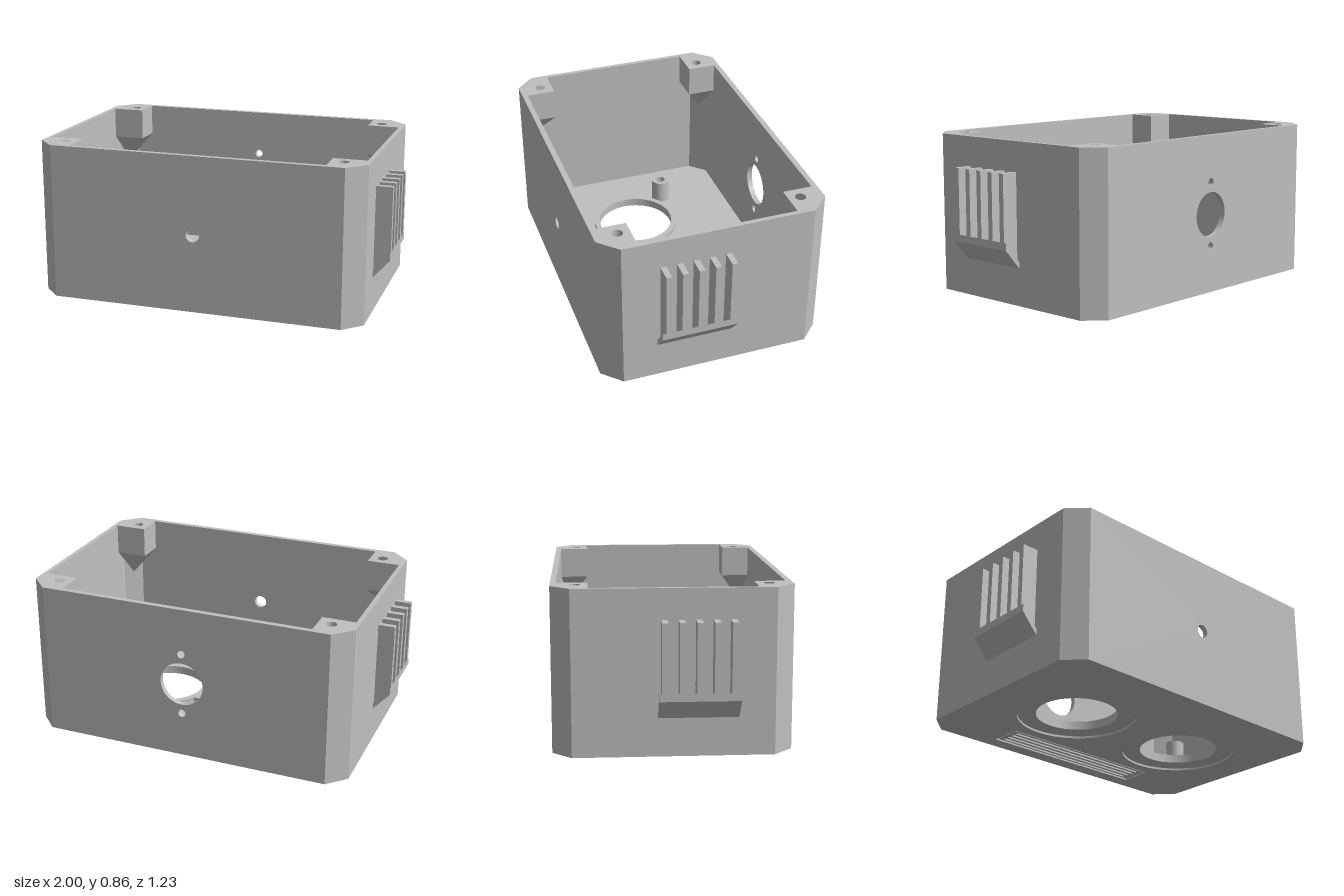
import * as THREE from 'three';
import { ConvexGeometry } from 'three/addons/geometries/ConvexGeometry.js';

const W = 0.91, D = 0.615, H = 0.86;      // outer half width, half depth, height
const IW = 0.885, ID = 0.585;             // inner half width and depth
const FLOOR = 0.035;

const rect = (x0, x1, y0, y1) => [[x0, y0], [x1, y0], [x1, y1], [x0, y1]];
const octagon = (w, d, c) => [
  [w, d - c], [w - c, d], [c - w, d], [-w, d - c],
  [-w, c - d], [c - w, -d], [w - c, -d], [w, c - d]];

// A hole is either [x, y, radius] or a list of points.
function outline(points, holes = []) {
  const shape = new THREE.Shape(points.map(p => new THREE.Vector2(...p)));
  for (const h of holes) {
    if (Array.isArray(h[0])) {
      shape.holes.push(new THREE.Path(h.map(p => new THREE.Vector2(...p))));
    } else {
      shape.holes.push(new THREE.Path().absarc(h[0], h[1], h[2], 0, Math.PI * 2, true));
    }
  }
  return shape;
}

const extrude = (shape, depth) =>
  new THREE.ExtrudeGeometry(shape, { depth, bevelEnabled: false, curveSegments: 40 });

// Plan outline in (x, z), raised from y0 to y1.
function slab(points, holes, y0, y1) {
  return extrude(outline(points, holes), y1 - y0).rotateX(Math.PI / 2).translate(0, y1, 0);
}

// Round tube standing on the floor.
function ring(x, z, outer, inner, y0, y1) {
  const shape = new THREE.Shape().absarc(0, 0, outer, 0, Math.PI * 2, false);
  shape.holes.push(new THREE.Path().absarc(0, 0, inner, 0, Math.PI * 2, true));
  return extrude(shape, y1 - y0).rotateX(Math.PI / 2).translate(x, y1, z);
}

export function createModel() {
  const model = new THREE.Group();
  model.name = 'enclosure';
  const grey = new THREE.MeshStandardMaterial({ color: 0xc0c0c0 });
  grey.name = 'grey plastic';
  const add = (name, geometry, parent = model) => {
    const mesh = new THREE.Mesh(geometry, grey);
    mesh.name = name;
    parent.add(mesh);
    return mesh;
  };

  // Floor: lower layer carries the shallow recesses, upper layer the openings
  const openings = [-0.385, 0.385];
  const inner = octagon(IW, ID, 0.085);
  add('floorUnderside', slab(inner,
    [...openings.map(x => [x, 0.035, 0.32]), rect(-0.5, 0.5, -0.53, -0.35)], 0, 0.012));
  add('floor', slab(inner, openings.map(x => [x, 0.035, 0.22]), 0.012, FLOOR));

  // Slotted grille set in the underside
  const slots = [0, 1, 2, 3].map(i => rect(-0.46, 0.46, -0.505 + i * 0.036, -0.483 + i * 0.036));
  add('grille', slab(rect(-0.485, 0.485, -0.518, -0.362), slots, 0.003, 0.012));

  // Front and back walls
  const panel = rect(-0.8, 0.8, 0, H);
  add('frontWall', extrude(outline(panel, [[0, 0.43, 0.037]]), D - ID).translate(0, 0, ID));
  add('backWall', extrude(outline(panel,
    [[0, 0.43, 0.122], [0, 0.605, 0.022], [0, 0.255, 0.022]]), D - ID).translate(0, 0, -D));

  // Side walls with finned hoods
  for (const s of [1, -1]) {
    const side = new THREE.Group();
    side.name = s > 0 ? 'leftSide' : 'rightSide';
    model.add(side);
    const wall = new THREE.BoxGeometry(W - IW, H, 1);
    add('sideWall', wall.translate(s * (W + IW) / 2, H / 2, 0), side);
    const strip = (points, z0, z1) =>
      extrude(outline(points.map(([x, y]) => [s * x, y])), z1 - z0).translate(0, 0, z0);
    add('ventHood', strip([[W, 0.2], [1, 0.305], [1, 0.345], [W, 0.235]], -0.08, 0.33), side);
    for (let i = 0; i < 5; i++) {
      const z = -0.05 + i * 0.0868;
      add('ventFin', strip([[W, 0.235], [1, 0.345], [1, 0.7], [W, 0.7]],
        z - 0.0155, z + 0.0155), side);
    }
  }

  // Chamfered corners and lid screw posts
  for (const sx of [1, -1]) for (const sz of [1, -1]) {
    const at = pts => pts.map(([x, z]) => [sx * x, sz * z]);
    add('cornerWall', slab(at([[0.8, ID], [0.8, D], [0.81, D], [W, 0.515], [W, 0.5], [IW, 0.5]]),
      [], 0, H));
    const post = at([[0.705, 0.425], [IW, 0.425], [IW, 0.5], [0.8, ID], [0.705, ID]]);
    add('screwPost', slab(post, [[sx * 0.775, sz * 0.492, 0.029]], 0.685, H));
    const taper = post.map(([x, z]) => new THREE.Vector3(x, 0.685, z));
    taper.push(new THREE.Vector3(sx * 0.8425, 0.52, sz * 0.5425));
    add('postTaper', new ConvexGeometry(taper));
  }

  // Rims, mounting bosses and the webs between the two openings
  for (const s of [1, -1]) {
    add('openingRim', ring(s * 0.385, 0.035, 0.25, 0.22, FLOOR, 0.06));
    add('mountingBoss', ring(s * 0.6, -0.2, 0.052, 0.028, FLOOR, 0.17));
    add('mountingBoss', ring(s * 0.165, 0.27, 0.052, 0.028, FLOOR, 0.17));
    add('rimWeb', slab(rect(s * 0.165, s * 0.095, -0.085, 0.155), [], FLOOR, 0.06));
  }

  // Raised strip from the back wall to the middle of the floor
  add('centreStrip', slab(rect(-0.104, 0.104, -ID, 0.005), [], FLOOR, 0.075));

  return model;
}
